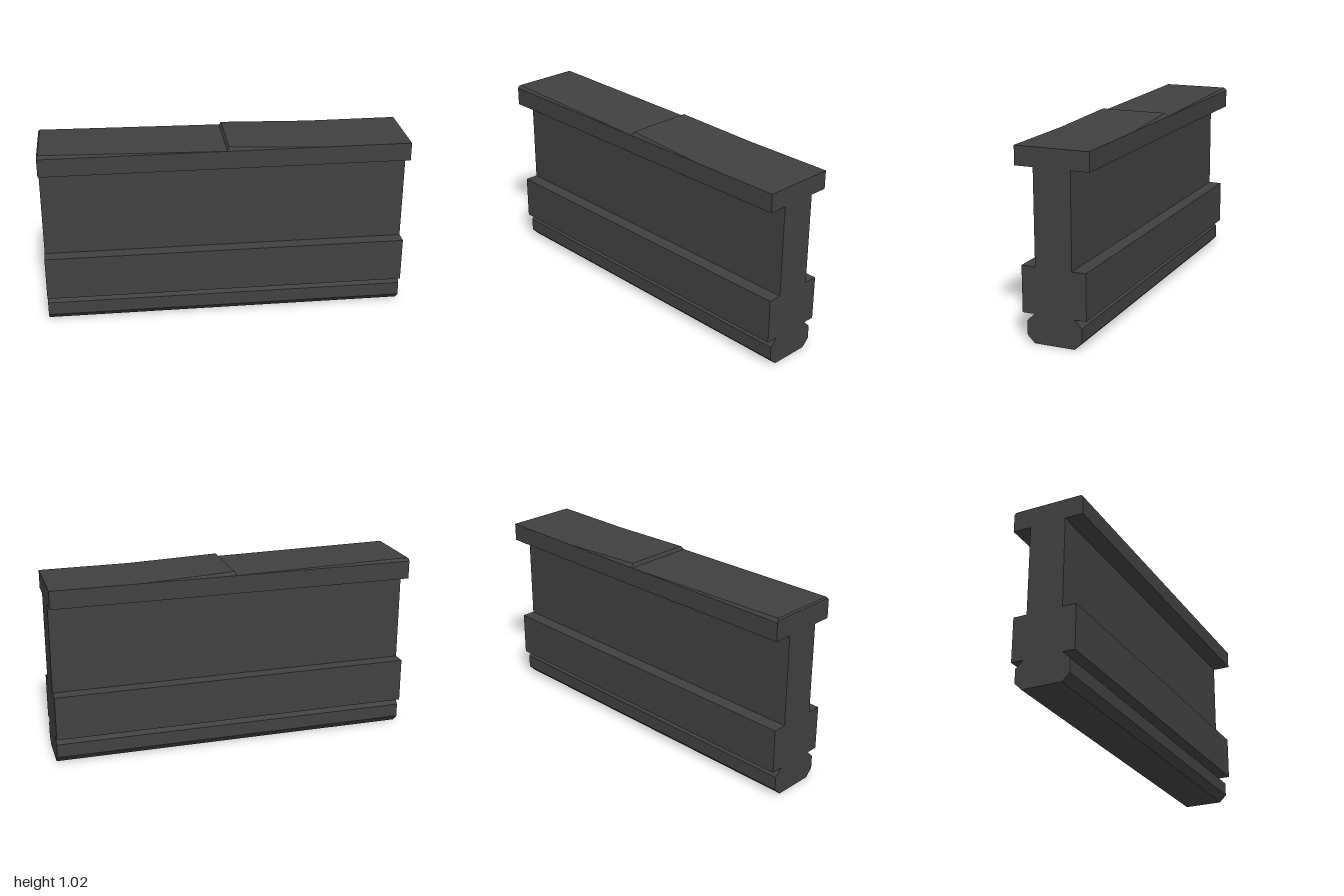
import * as THREE from 'three';

// Half of the cross-section: [half width, height], from the foot to the head
const PROFILE = [
  [0.11, 0], [0.15, 0.04], [0.15, 0.115], [0.11, 0.155], // chamfered foot
  [0.175, 0.155], [0.175, 0.4],                          // lower block
  [0.1, 0.4], [0.1, 0.9],                                // web
  [0.2, 0.9], [0.2, 1], [0.185, 1.02],                   // head and crown edge
];

// Crown height above the head along the length: [x, rise]
const STATIONS = [[-1, 0.011], [-0.992, 0.018], [0, 0], [0.01, 0.02], [0.5, 0], [1, 0]];

export function createModel() {
  const group = new THREE.Group();
  group.name = 'rail';

  // Mirror the half profile into a closed shape
  const right = PROFILE.map(([x, y]) => new THREE.Vector2(x, y));
  const left = PROFILE.map(([x, y]) => new THREE.Vector2(-x, y)).reverse();
  const steps = STATIONS.length - 1;
  const geometry = new THREE.ExtrudeGeometry(new THREE.Shape([...right, ...left]), {
    depth: steps, steps, bevelEnabled: false,
  });

  // Place each section at its station and set the crown to its rise there
  const p = geometry.attributes.position;
  for (let i = 0; i < p.count; i++) {
    const [along, rise] = STATIONS[Math.round(p.getZ(i))];
    p.setZ(i, along);
    if (p.getY(i) > 1.01) {
      p.setX(i, Math.sign(p.getX(i)) * (0.2 - 0.75 * rise));
      p.setY(i, 1 + rise);
    }
  }
  geometry.rotateY(Math.PI / 2);
  geometry.computeVertexNormals();

  const body = new THREE.Mesh(
    geometry,
    new THREE.MeshStandardMaterial({ color: 0x404040, flatShading: true }),
  );
  body.name = 'railBody';
  group.add(body);
  return group;
}
